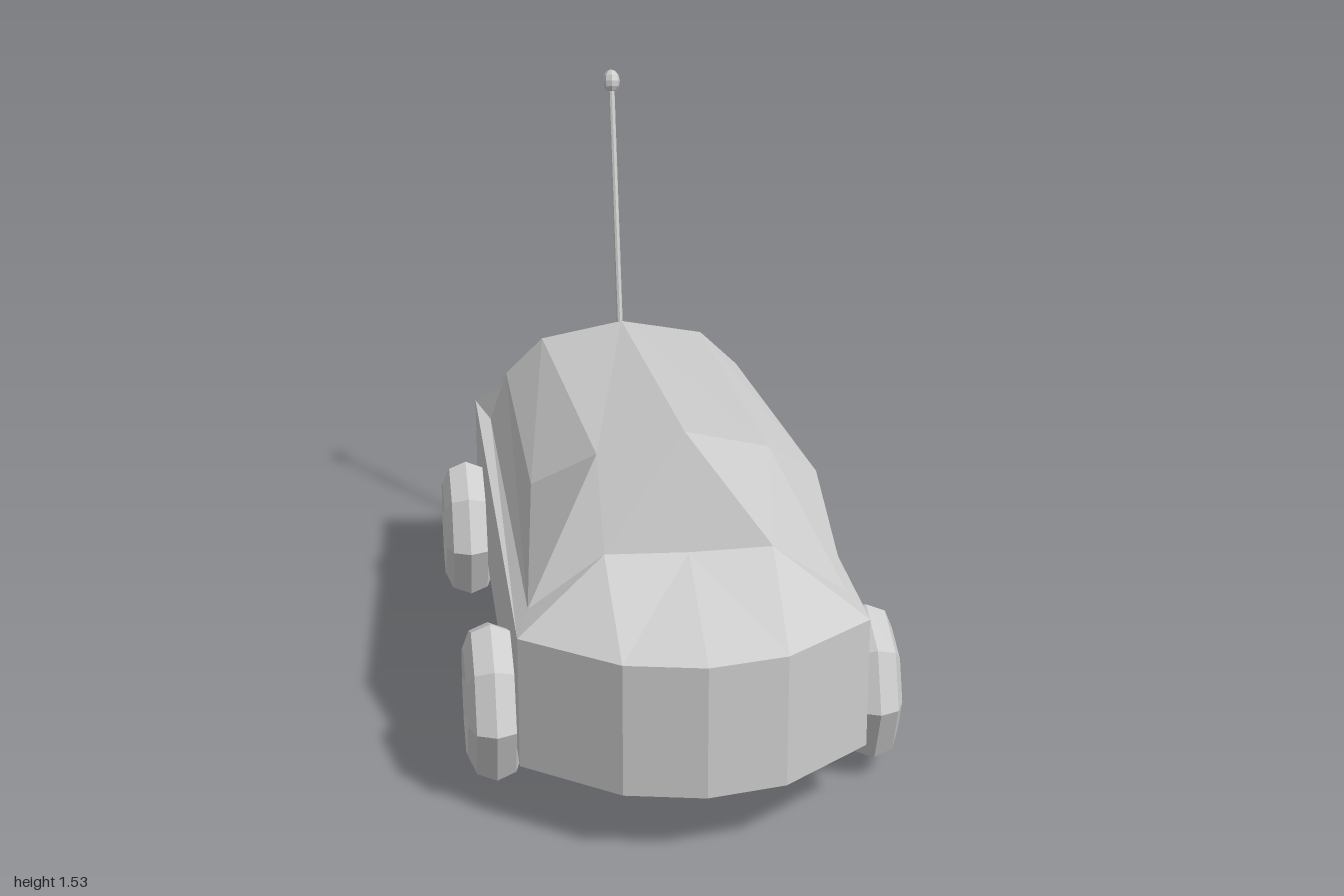
import * as THREE from 'three';

const grey = new THREE.MeshStandardMaterial({ color: 0xcccccc, flatShading: true });
const sheet = new THREE.MeshStandardMaterial({ color: 0xcccccc, flatShading: true, side: THREE.DoubleSide });

// Skins rows of half-section points, then mirrors them across x = 0
function mirroredLoft(name, rows) {
  const pos = [];
  const tri = (a, b, c) => {
    pos.push(...a, ...b, ...c);
    for (const p of [a, c, b]) pos.push(-p[0], p[1], p[2]);
  };
  for (let i = 0; i < rows.length - 1; i++) {
    for (let j = 0; j < rows[i].length - 1; j++) {
      const a = rows[i][j], b = rows[i][j + 1], c = rows[i + 1][j + 1], d = rows[i + 1][j];
      tri(a, d, c);
      tri(a, c, b);
    }
  }
  const geo = new THREE.BufferGeometry();
  geo.setAttribute('position', new THREE.Float32BufferAttribute(pos, 3));
  geo.computeVertexNormals();
  const mesh = new THREE.Mesh(geo, sheet);
  mesh.name = name;
  return mesh;
}

export function createModel() {
  const group = new THREE.Group();
  group.name = 'van';

  // Sections shared by neighbouring panels, from the side to the centre line
  const nose = [[0.435, 0.51, 0.78], [0.2, 0.51, 0.96], [0, 0.51, 1]];
  const glassBase = [[0.4, 0.535, 0.665], [0.21, 0.67, 0.665], [0, 0.665, 0.665]];
  const glassTop = [[0.367, 0.76, 0.4], [0.215, 0.89, 0.55], [0, 0.95, 0.58]];
  const roofRear = [[0.35, 0.66, -0.775], [0.24, 0.765, -0.775], [0, 0.81, -0.775]];
  const sillRear = [0.4, 0.515, -0.775];
  const corner = [0.435, 0.51, -0.965];
  const tail = [[0.24, 0.56, -0.9], [0, 0.56, -0.9]];

  group.add(mirroredLoft('hood', [nose, glassBase]));
  group.add(mirroredLoft('windshield', [glassBase, glassTop]));
  group.add(mirroredLoft('roof', [glassTop, roofRear]));
  group.add(mirroredLoft('cabinSides', [
    [nose[0], glassBase[0], glassTop[0]],
    [corner, sillRear, roofRear[0]],
  ]));
  group.add(mirroredLoft('rearSlope', [
    [sillRear, ...roofRear],
    [[0.403, 0.515, -0.79], [0.36, 0.6, -0.81], [0.27, 0.665, -0.83], [0, 0.685, -0.835]],
    [corner, corner, ...tail],
  ]));

  // Lower walls, open underneath
  const rim = [...nose].reverse().concat([corner], tail);
  group.add(mirroredLoft('bodyWalls', [rim, rim.map(([x, , z]) => [x, 0.165, z])]));

  // Octagonal ring wheels
  const wheelGeo = new THREE.TorusGeometry(0.143, 0.07, 8, 8);
  wheelGeo.rotateY(Math.PI / 2);
  for (const [end, z] of [['front', 0.51], ['rear', -0.653]]) {
    for (const [side, x] of [['Left', 0.485], ['Right', -0.485]]) {
      const wheel = new THREE.Mesh(wheelGeo, grey);
      wheel.name = end + side + 'Wheel';
      wheel.position.set(x, 0.214, z);
      group.add(wheel);
    }
  }

  // Leaning antenna with a ball tip
  const foot = new THREE.Vector3(-0.005, 0.79, -0.77);
  const tip = new THREE.Vector3(-0.005, 1.5, -0.967);
  const lean = tip.clone().sub(foot);
  const antenna = new THREE.Group();
  antenna.name = 'antenna';
  antenna.position.copy(foot);
  antenna.quaternion.setFromUnitVectors(new THREE.Vector3(0, 1, 0), lean.clone().normalize());
  const rod = new THREE.Mesh(new THREE.CylinderGeometry(0.009, 0.009, lean.length(), 8), grey);
  rod.name = 'antennaRod';
  rod.position.y = lean.length() / 2;
  const ball = new THREE.Mesh(new THREE.SphereGeometry(0.026, 8, 6), grey);
  ball.name = 'antennaBall';
  ball.scale.y = 1.3;
  ball.position.y = lean.length();
  antenna.add(rod, ball);
  group.add(antenna);

  return group;
}
